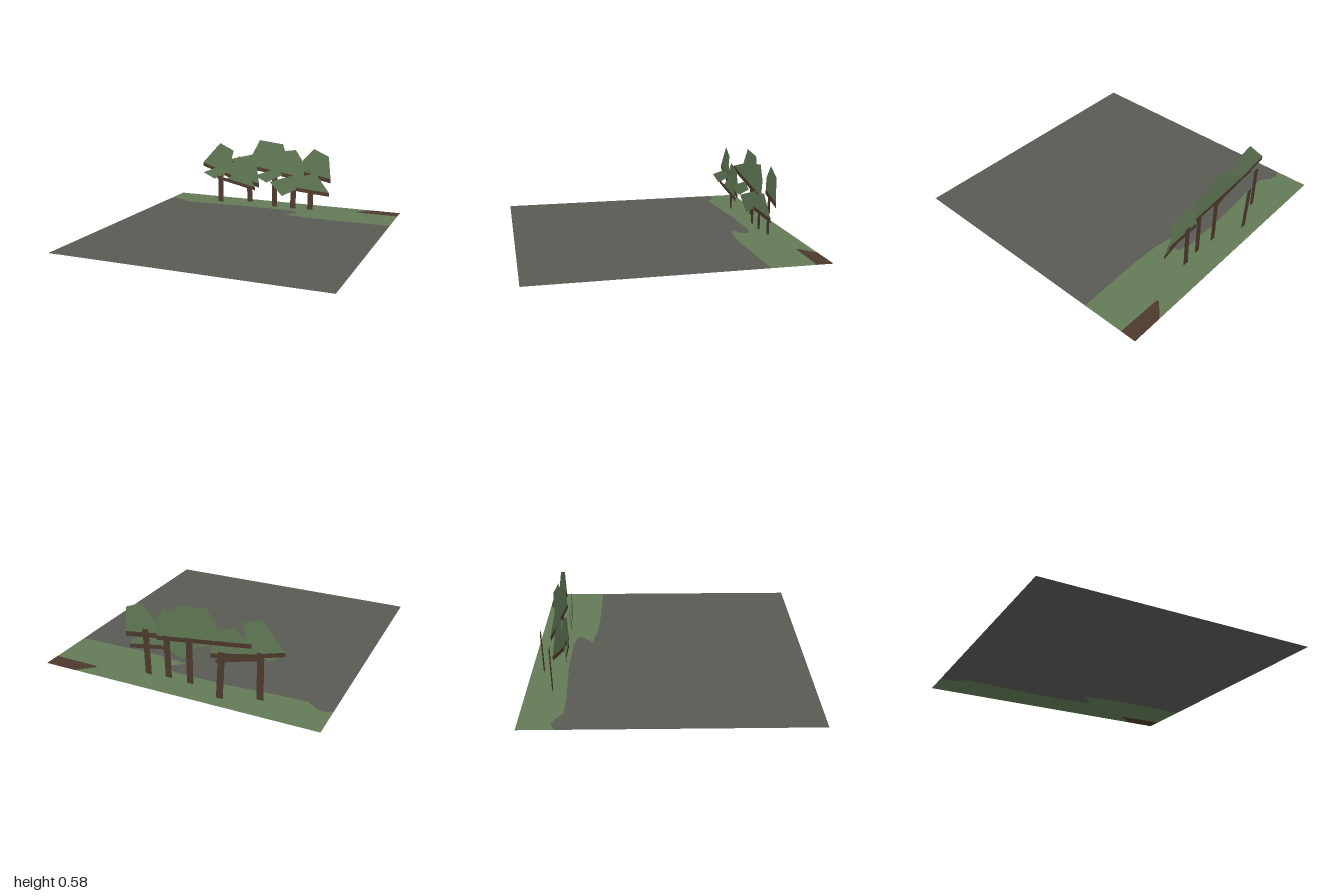
import * as THREE from 'three';

const material = (name, color) => {
  const m = new THREE.MeshStandardMaterial({ color, side: THREE.DoubleSide });
  m.name = name;
  return m;
};

// Flat polygon whose depth follows a tilted plane: z = z0 + b * (x - x0) + c * (y - y0)
function panel(name, points, mat, z = 0, b = 0, c = 0) {
  const shape = new THREE.Shape(points.map(([x, y]) => new THREE.Vector2(x, y)));
  const geo = new THREE.ShapeGeometry(shape);
  const pos = geo.attributes.position;
  const [x0, y0] = points[0];
  for (let i = 0; i < pos.count; i++) {
    pos.setZ(i, z + b * (pos.getX(i) - x0) + c * (pos.getY(i) - y0));
  }
  geo.computeVertexNormals();
  const mesh = new THREE.Mesh(geo, mat);
  mesh.name = name;
  return mesh;
}

// Polygon lying on the ground, given as [x, z]
function groundPatch(name, points, mat) {
  const mesh = panel(name, points.map(([x, z]) => [x, -z]), mat);
  mesh.geometry.rotateX(-Math.PI / 2);
  mesh.position.y = 0.012;
  return mesh;
}

export function createModel() {
  const model = new THREE.Group();
  const paving = material('grey ground', 0x5a5a55);
  const green = material('leaf green', 0x627a56);
  const brown = material('bark brown', 0x4c392c);

  // Ground sheet, split along the grass and soil borders
  const grassEdge = [
    [-1, -0.75], [-0.945, -0.78], [-0.89, -0.765], [-0.82, -0.71], [-0.61, -0.715],
    [-0.25, -0.74], [0.1, -0.74], [0.21, -0.715], [0.21, -0.67],
    [0.12, -0.6], [0.3, -0.572], [0.5, -0.565], [1, -0.575],
  ];
  const soilEdge = [[1, -0.885], [0.66, -0.89], [0.655, -0.905], [0.73, -0.97], [0.765, -1]];
  model.add(
    groundPatch('ground', [...grassEdge, [1, 1], [-1, 1]], paving),
    groundPatch('grass', [...grassEdge, ...soilEdge, [-1, -1]], green),
    groundPatch('soil', [...soilEdge, [1, -1]], brown),
  );

  // Flat trunk boards, slightly leaning
  const addTrunk = (name, x, lean, top, z) => {
    const w = 0.024;
    model.add(panel(name,
      [[x - w, 0], [x + w, 0], [x + lean + w, top], [x + lean - w, top]], brown, z));
  };
  addTrunk('trunk1', -0.535, 0, 0.345, -0.82);
  addTrunk('trunk2', -0.292, -0.02, 0.345, -0.91);
  addTrunk('trunk3', -0.036, 0, 0.345, -0.825);
  addTrunk('trunk4', 0.132, 0.006, 0.32, -0.815);
  addTrunk('trunk5', 0.279, 0.007, 0.345, -0.83);

  // Leaf panel; a bark strip of the given height hangs below its first-to-last edge
  const addCrown = (name, strip, tilt, leaf) => {
    const crown = new THREE.Group();
    crown.name = name;
    crown.add(panel('leaves', leaf, green, ...tilt));
    if (strip > 0) {
      const [ax, ay] = leaf[0];
      const [bx, by] = leaf[leaf.length - 1];
      const edge = [[ax, ay], [bx, by], [bx, by - strip], [ax, ay - strip]];
      crown.add(panel('barkStrip', edge, brown, ...tilt));
    }
    model.add(crown);
  };

  // Tall crowns at the back
  addCrown('leftBackCrown', 0.03, [-0.775, 0.1],
    [[-0.68, 0.36], [-0.51, 0.54], [-0.38, 0.485], [-0.4, 0.41], [-0.34, 0.25]]);
  addCrown('middleBackCrown', 0.032, [-0.815, 0.03, -0.08],
    [[-0.47, 0.39], [-0.235, 0.45], [-0.17, 0.577], [0.04, 0.555],
      [0.06, 0.5], [0.155, 0.515], [0.23, 0.41], [0.235, 0.29]]);
  addCrown('rightBackCrown', 0.035, [-0.835, 0.08],
    [[0.2, 0.335], [0.21, 0.43], [0.305, 0.53], [0.435, 0.475], [0.455, 0.29]]);
  addCrown('leftMiddleCrown', 0.035, [-0.75, 0.04],
    [[-0.42, 0.28], [-0.405, 0.36], [-0.33, 0.44], [-0.17, 0.39], [-0.145, 0.22]]);

  // Low crowns and sprigs at the front
  addCrown('leftFrontCrown', 0.028, [-0.715, -0.06],
    [[-0.52, 0.265], [-0.43, 0.245], [-0.27, 0.35], [-0.18, 0.185]]);
  addCrown('rightFrontCrown', 0.03, [-0.75, -0.1],
    [[0.18, 0.21], [0.19, 0.3], [0.34, 0.34], [0.455, 0.18]]);
  addCrown('middleFrontCrown', 0, [-0.725, -0.13],
    [[-0.045, 0.245], [0.2, 0.327], [0.25, 0.23], [0.06, 0.13]]);

  // The two sprigs share one outline
  const sprig = [[0, 0], [0.175, 0.067], [0.228, 0.014], [0.095, -0.055]];
  const sprigAt = (x, y) => sprig.map(([dx, dy]) => [x + dx, y + dy]);
  addCrown('farLeftSprig', 0, [-0.69, -0.22], sprigAt(-0.64, 0.29));
  addCrown('middleSprig', 0, [-0.705, -0.22], sprigAt(-0.17, 0.292));

  return model;
}
